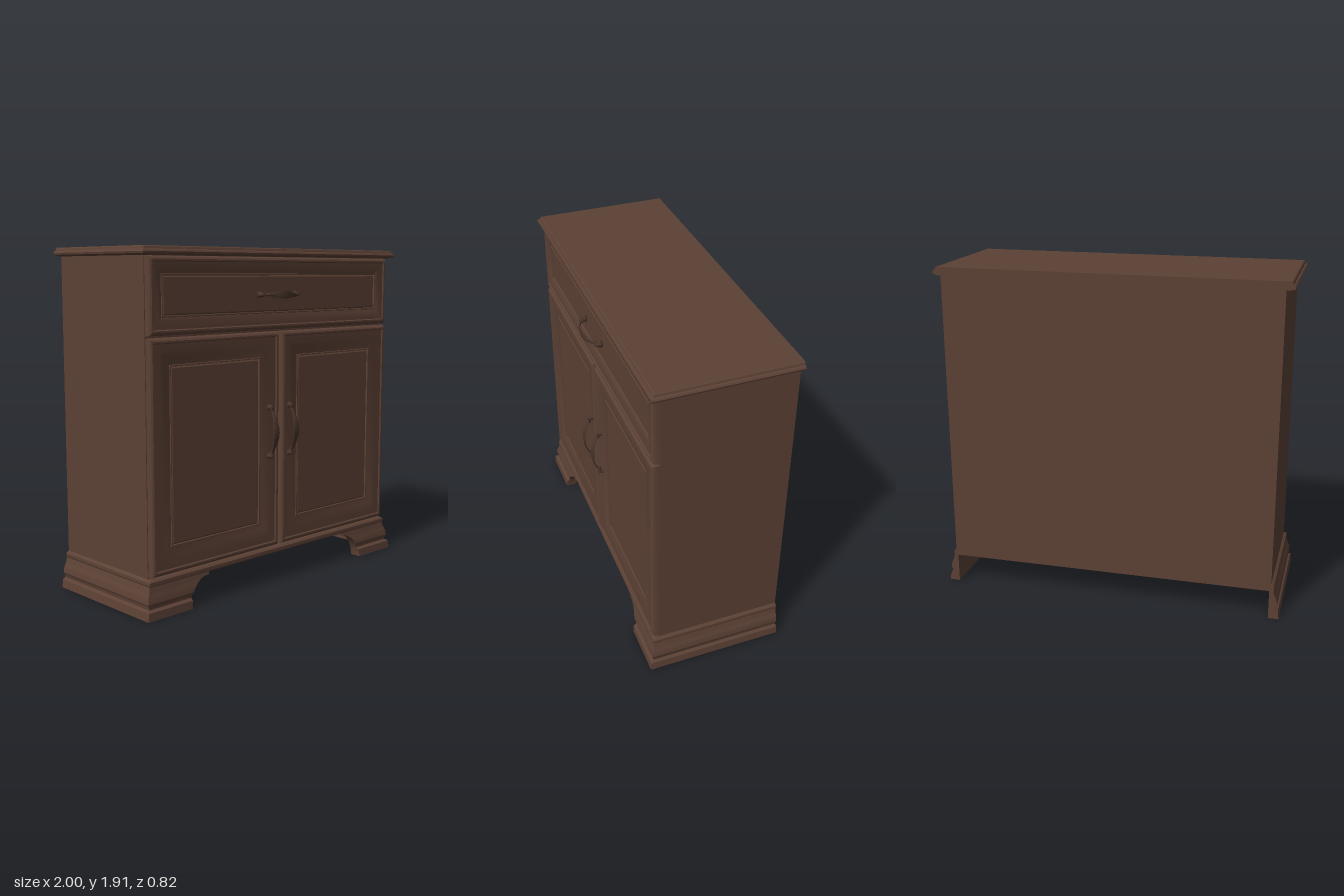
import * as THREE from 'three';
import { toCreasedNormals } from 'three/addons/utils/BufferGeometryUtils.js';

const wood = new THREE.MeshStandardMaterial({ color: 0x5c4135 });
wood.name = 'brown wood';
const metal = new THREE.MeshStandardMaterial({ color: 0x49342b });
metal.name = 'dark bronze';

const BACK = -0.41;

// Maps a section point (u, v) at a level along the given axis to 3D
const place = {
  x: (l, u, v) => [l, u, v],
  y: (l, u, v) => [v, l, u],
  z: (l, u, v) => [u, v, l],
};

// Closed loft through sections { level, pts }, counterclockwise seen from the end
function loft(axis, sections, crease = 0.5) {
  const n = sections[0].pts.length;
  const pos = [];
  const idx = [];
  sections.forEach(s => s.pts.forEach(([u, v]) => pos.push(...place[axis](s.level, u, v))));
  for (let i = 0; i < sections.length - 1; i++) {
    for (let j = 0; j < n; j++) {
      const a = i * n + j, b = i * n + (j + 1) % n;
      idx.push(a, b, b + n, a, b + n, a + n);
    }
  }
  const cap = (s, base, flip) => {
    const contour = s.pts.map(([u, v]) => new THREE.Vector2(u, v));
    for (const [a, b, c] of THREE.ShapeUtils.triangulateShape(contour, [])) {
      if (flip) idx.push(base + a, base + c, base + b);
      else idx.push(base + a, base + b, base + c);
    }
  };
  cap(sections[0], 0, true);
  cap(sections[sections.length - 1], (sections.length - 1) * n, false);
  const g = new THREE.BufferGeometry();
  g.setAttribute('position', new THREE.Float32BufferAttribute(pos, 3));
  g.setIndex(idx);
  return toCreasedNormals(g, crease);
}

const rect = (u0, u1, v0, v1) => [[u0, v0], [u1, v0], [u1, v1], [u0, v1]];

function add(parent, name, geometry, material) {
  const m = new THREE.Mesh(geometry, material);
  m.name = name;
  parent.add(m);
  return m;
}

// Slab moulded on the front and both sides; rows are [y, half width, front z]
const slab = rows => loft('y', rows.map(([y, hx, f]) => ({ level: y, pts: rect(BACK, f, -hx, hx) })));

// Framed panel: outer bead, cove and a recessed field
function framedPanel(x0, x1, y0, y1, frame) {
  const rows = [
    [0, 0.312], [0, 0.336], [0.006, 0.347], [0.016, 0.353], [0.025, 0.353], [0.03, 0.346],
    [frame * 0.45, 0.345], [frame * 0.6, 0.343], [frame * 0.75, 0.338], [frame * 0.88, 0.333],
    [frame - 0.01, 0.332], [frame - 0.008, 0.337], [frame - 0.002, 0.337], [frame, 0.328],
    [frame + 0.008, 0.333],
  ];
  return loft('z', rows.map(([d, z]) => ({ level: z, pts: rect(x0 + d, x1 - d, y0 + d, y1 - d) })));
}

// Bracket foot: L-shaped section, ogee outside, arched inner end
const footProfile = [
  [0, 1.0, 0.38], [0.045, 0.994, 0.376], [0.055, 0.98, 0.358], [0.07, 0.98, 0.358],
  [0.085, 0.988, 0.365], [0.11, 0.985, 0.361], [0.14, 0.972, 0.352], [0.17, 0.963, 0.346],
];
function foot(side) {
  const levels = [0, 0.025, 0.045, 0.055, 0.07, 0.085, 0.1, 0.11, 0.125, 0.14, 0.148, 0.153, 0.155, 0.17];
  return loft('y', levels.map(y => {
    const k = Math.max(1, footProfile.findIndex(p => p[0] >= y));
    const a = footProfile[k - 1], b = footProfile[k];
    const t = (y - a[0]) / (b[0] - a[0]);
    const outer = a[1] + (b[1] - a[1]) * t;
    const front = a[2] + (b[2] - a[2]) * t;
    const inner = y < 0.155 ? 0.56 + 0.14 * Math.sqrt(1 - (y / 0.155) ** 2) : 0.553;
    const pts = [[BACK, 0.94], [0.31, 0.94], [0.31, inner], [front, inner], [front, outer], [BACK, outer]]
      .map(([u, v]) => [u, v * side]);
    return { level: y, pts: side > 0 ? pts : pts.reverse() };
  }));
}

// Bowed pull: leaf-shaped strap between two tapered posts
function handle(name) {
  const g = new THREE.Group();
  g.name = name;
  const sections = [];
  const steps = 20, half = 0.138;
  for (let i = 0; i <= steps; i++) {
    const t = (i / steps) * 2 - 1;
    const z = 0.364 + 0.046 * (1 - t * t);
    const w = 0.006 + 0.016 * Math.cos(t * Math.PI / 2) ** 2;
    sections.push({ level: t * half, pts: [[-w, z - 0.009], [w, z - 0.009], [w, z - 0.004], [0, z], [-w, z - 0.004]] });
  }
  add(g, 'strap', loft('x', sections), metal);
  const profile = [[0, 0], [0.018, 0], [0.018, 0.012], [0.011, 0.025], [0.012, 0.034], [0.007, 0.041], [0, 0.042]]
    .map(([r, y]) => new THREE.Vector2(r, y));
  for (const s of [-1, 1]) {
    const post = add(g, 'post', new THREE.LatheGeometry(profile, 12), metal);
    post.rotation.x = Math.PI / 2;
    post.position.set(s * 0.14, 0, 0.332);
    // Short neck joining the post to the strap
    const neck = add(g, 'neck', new THREE.CylinderGeometry(0.006, 0.013, 0.03, 8), metal);
    neck.rotation.z = s * Math.PI / 2;
    neck.position.set(s * 0.122, 0, 0.364);
  }
  return g;
}

export function createModel() {
  const model = new THREE.Group();
  model.name = 'cabinet';

  // Carcass
  const body = add(model, 'body', new THREE.BoxGeometry(1.9, 1.675, 0.725), wood);
  body.position.set(0, 1.0375, BACK + 0.3625);

  // Top board with moulded edge
  add(model, 'topBoard', slab([
    [1.868, 0.962, 0.34], [1.872, 0.985, 0.358], [1.876, 0.997, 0.372], [1.886, 1.0, 0.375],
    [1.895, 0.994, 0.37], [1.898, 0.986, 0.361], [1.91, 0.982, 0.357], [1.915, 0.976, 0.351],
  ]), wood);

  // Base rail and feet
  add(model, 'baseRail', slab([
    [0.17, 0.962, 0.347], [0.176, 0.966, 0.351], [0.194, 0.966, 0.351], [0.2, 0.961, 0.346], [0.206, 0.952, 0.337],
  ]), wood);
  add(model, 'leftFoot', foot(1), wood);
  add(model, 'rightFoot', foot(-1), wood);

  // Drawer and doors
  add(model, 'drawerFront', framedPanel(-0.946, 0.946, 1.465, 1.866, 0.1), wood);
  add(model, 'rightDoor', framedPanel(-0.946, -0.01, 0.213, 1.453, 0.15), wood);
  add(model, 'leftDoor', framedPanel(0.01, 0.946, 0.213, 1.453, 0.15), wood);

  // Handles
  const drawerHandle = handle('drawerHandle');
  drawerHandle.position.set(-0.023, 1.66, 0);
  model.add(drawerHandle);
  for (const [name, x] of [['rightDoorHandle', -0.086], ['leftDoorHandle', 0.075]]) {
    const h = handle(name);
    h.rotation.z = Math.PI / 2;
    h.position.set(x, 0.887, 0);
    model.add(h);
  }
  return model;
}
